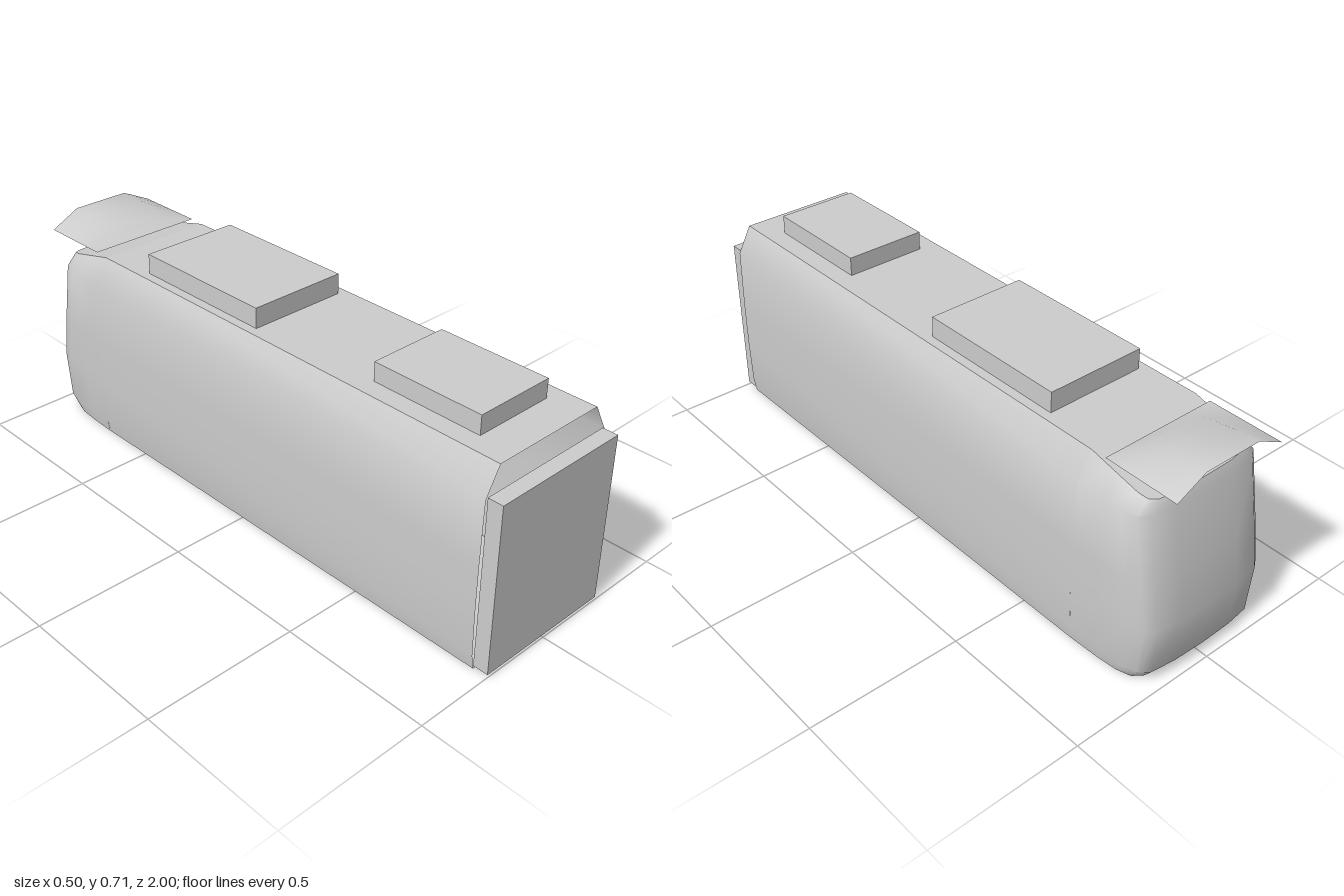
import * as THREE from 'three';
import { toCreasedNormals } from 'three/addons/utils/BufferGeometryUtils.js';

// Surface through rows of [x, y, z] points, smooth except at sharp edges
function skin(rows, crease = 0.78) {
  const n = rows[0].length, index = [];
  for (let i = 0; i < rows.length - 1; i++) {
    for (let j = 0; j < n - 1; j++) {
      const a = i * n + j, b = a + 1, c = a + n, d = c + 1;
      index.push(a, c, b, b, c, d);
    }
  }
  const g = new THREE.BufferGeometry();
  g.setAttribute('position', new THREE.Float32BufferAttribute(rows.flat(2), 3));
  g.setIndex(index);
  return toCreasedNormals(g, crease);
}

export function createModel() {
  const group = new THREE.Group();
  const grey = new THREE.MeshStandardMaterial({ color: 0xcccccc, side: THREE.DoubleSide });
  grey.name = 'light grey';

  const add = (name, geometry) => {
    const mesh = new THREE.Mesh(geometry, grey);
    mesh.name = name;
    group.add(mesh);
  };
  const addBox = (name, width, y0, y1, z0, z1) => {
    const g = new THREE.BoxGeometry(width, y1 - y0, z1 - z0);
    g.translate(0, (y0 + y1) / 2, (z0 + z1) / 2);
    add(name, g);
  };

  // Carriage body: a closed section with an open front end
  const side = [[0.24, 0], [0.248, 0.05], [0.252, 0.2], [0.252, 0.35], [0.248, 0.56], [0.2, 0.648]];
  const section = [...side, ...side.map(([x, y]) => [-x, y]).reverse(), side[0]];
  add('carriageBody', skin([0.95, -0.7].map((z) => section.map(([x, y]) => [x, y, z]))));

  // Rounded nose: stacked plan outlines [half width, height, rear z]
  const levels = [
    [0.24, 0, -0.95], [0.247, 0.04, -0.98], [0.252, 0.2, -0.99],
    [0.252, 0.35, -0.967], [0.248, 0.56, -0.932],
  ];
  const halfPlan = ([w, y, zb]) => [
    [w, y, -0.7], [w * 0.985, y, -0.8], [w * 0.96, y, zb + 0.08], [w * 0.9, y, zb + 0.035],
    [w * 0.78, y, zb + 0.013], [w * 0.45, y, zb + 0.003], [0, y, zb],
  ];
  const halves = levels.map(halfPlan);
  // Top outline slopes down towards the rear
  const top = [
    [0.2, 0.648, -0.7], [0.198, 0.625, -0.79], [0.196, 0.605, -0.868], [0.188, 0.598, -0.895],
    [0.165, 0.594, -0.91], [0.1, 0.592, -0.918], [0, 0.592, -0.92],
  ];
  halves.push(top);
  const mirror = (pts) => pts.map(([x, y, z]) => [-x, y, z]);
  add('noseShell', skin(halves.map((h) => [...mirror(h), ...h.slice(0, -1).reverse()])));
  add('noseRoof', skin([mirror(top), top]));
  add('noseFloor', skin([halves[0], mirror(halves[0])]));

  // Gangway and roof units
  addBox('gangway', 0.48, 0.01, 0.565, 0.95, 1);
  addBox('frontRoofUnit', 0.274, 0.645, 0.71, 0.45, 0.83);
  addBox('rearRoofUnit', 0.338, 0.645, 0.715, -0.51, 0);

  // Arched sheet over the nose, flat at its leading edge
  const arch = [[-0.2, 0], [-0.1, 1], [0.1, 1], [0.2, 0]];
  const rise = [[-0.75, 0], [-0.8, 0.02], [-0.86, 0.035], [-0.93, 0.045], [-1, 0.05]];
  add('roofFairing', skin(arch.map(([x, k]) => rise.map(([z, h]) => [x, 0.65 + h * k, z]))));

  return group;
}
